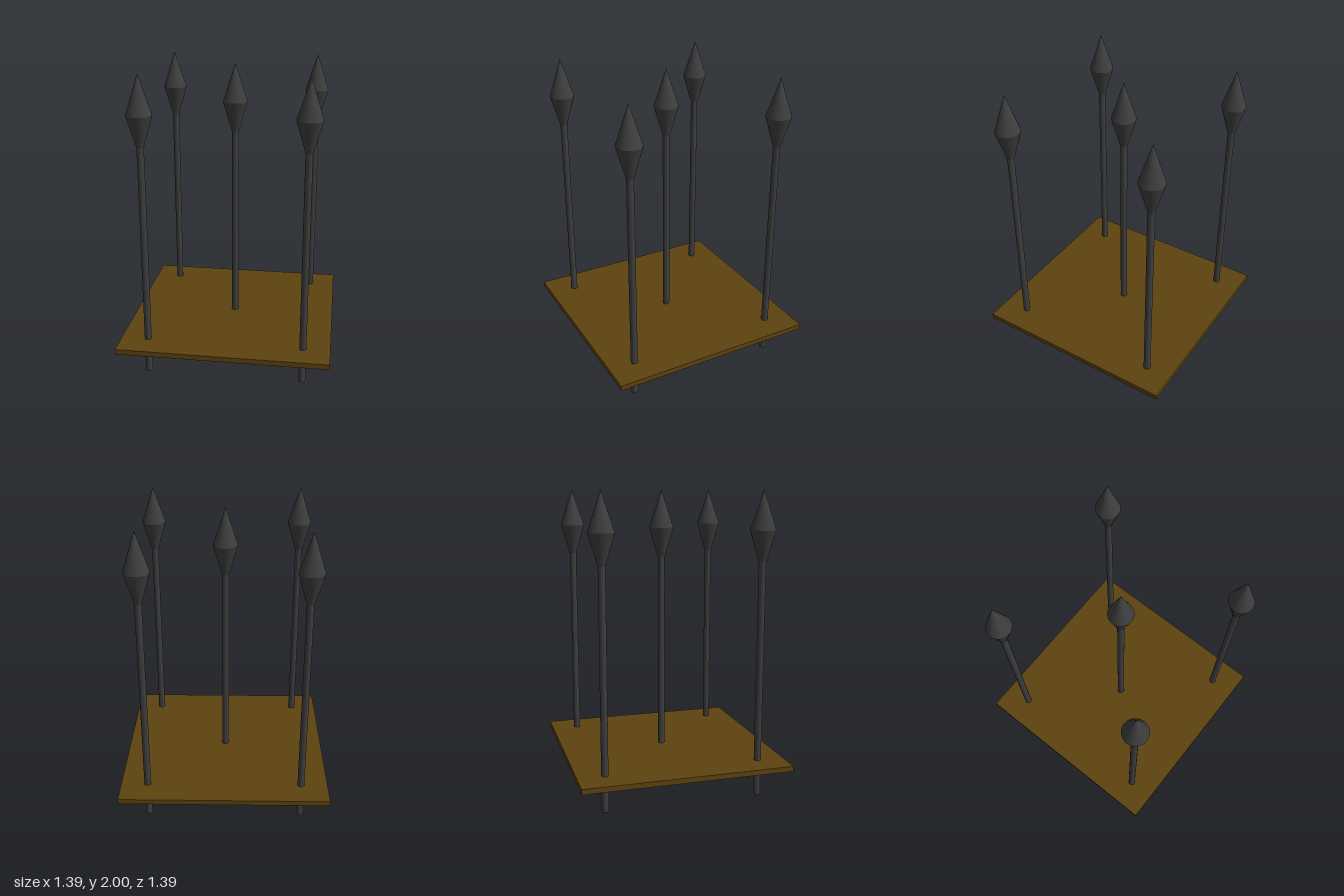
import * as THREE from 'three';

export function createModel() {
  const model = new THREE.Group();
  model.name = 'spikeTrap';

  const iron = new THREE.MeshStandardMaterial({ color: 0x3e3e3e });
  iron.name = 'darkIron';
  const wood = new THREE.MeshStandardMaterial({ color: 0x5e430f });
  wood.name = 'brownWood';

  const add = (parent, name, geometry, material, y) => {
    const mesh = new THREE.Mesh(geometry, material);
    mesh.name = name;
    mesh.position.y = y;
    parent.add(mesh);
  };

  // Square base plate
  add(model, 'basePlate', new THREE.BoxGeometry(1.39, 0.035, 1.39), wood, 0.22);

  // Spike parts: a shaft through the plate and a double-cone head
  const shaft = new THREE.CylinderGeometry(0.023, 0.023, 1.56, 32);
  const headLower = new THREE.CylinderGeometry(0.082, 0.023, 0.2, 32, 1, true);
  const headTip = new THREE.ConeGeometry(0.082, 0.25, 32, 1, true);

  // One spike near each corner and one in the middle
  const d = 0.516;
  for (const [x, z] of [[0, 0], [-d, -d], [d, -d], [-d, d], [d, d]]) {
    const spike = new THREE.Group();
    spike.name = 'spike';
    spike.position.set(x, 0, z);
    add(spike, 'shaft', shaft, iron, 0.78);
    add(spike, 'headLower', headLower, iron, 1.65);
    add(spike, 'headTip', headTip, iron, 1.875);
    model.add(spike);
  }

  return model;
}
